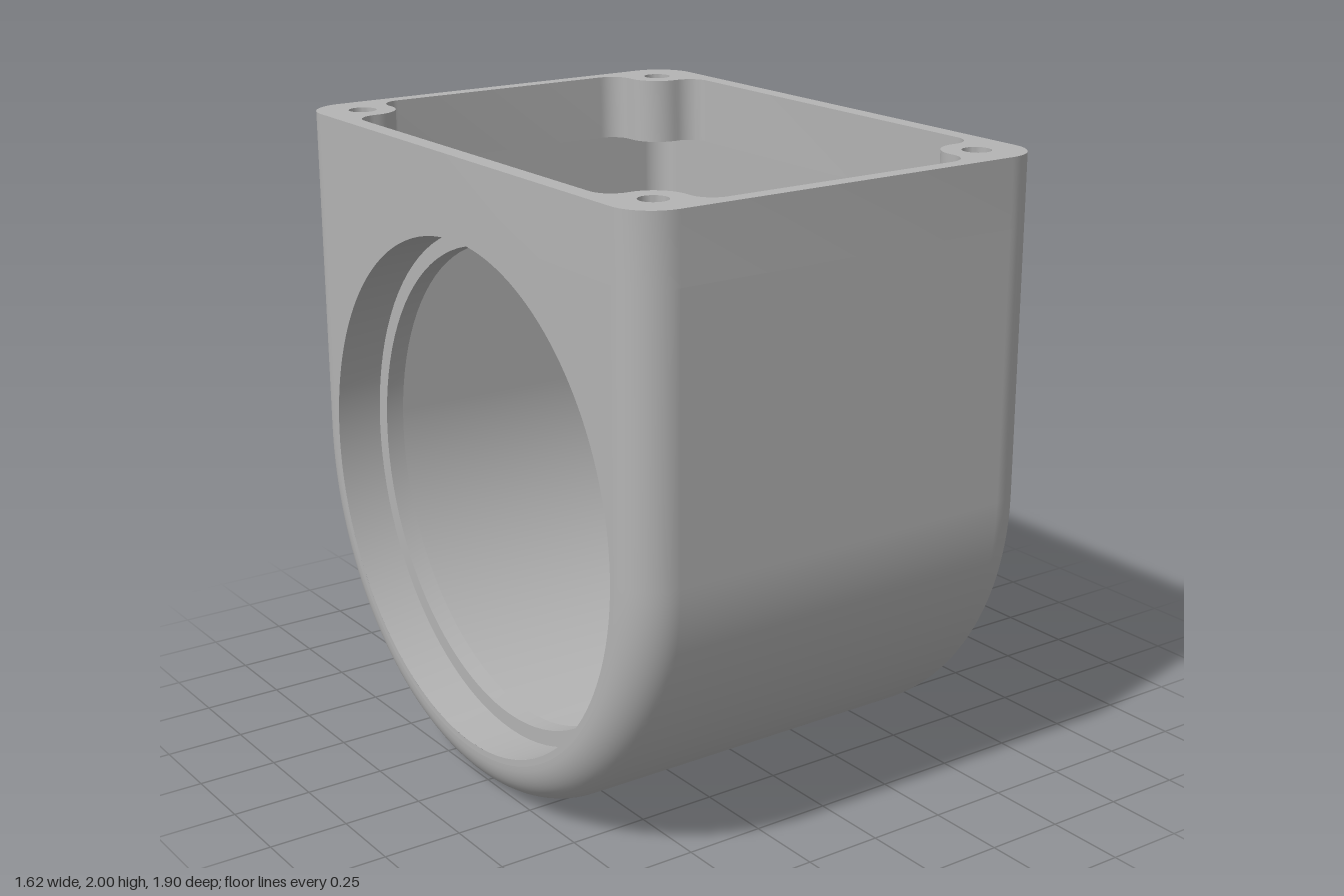
import * as THREE from 'three';
import { toCreasedNormals } from 'three/addons/utils/BufferGeometryUtils.js';

const AXIS_Y = 0.95;    // height of the bore axis
const RIM_Y = 1.79;     // underside of the rim and screw bosses
const TOP_Y = 2;
const MID_X = -0.0975;  // middle of the housing box
const HALF_PI = Math.PI / 2;

// Points along an arc, angles in quarter turns
function arc(cx, cy, r, from, to, n = 12) {
  return Array.from({ length: n + 1 }, (_, i) => {
    const a = (from + (to - from) * i / n) * HALF_PI;
    return new THREE.Vector2(cx + r * Math.cos(a), cy + r * Math.sin(a));
  });
}

// Mirror a first-quadrant outline into a closed four-quadrant outline
function mirrorQuarter(q) {
  const flip = (sx, sy) => q.map(p => new THREE.Vector2(p.x * sx, p.y * sy));
  return [...q, ...flip(-1, 1).reverse(), ...flip(-1, -1), ...flip(1, -1).reverse()];
}

// U-shaped skin with rounded edges: an (x, radius) profile swept down, around and up
function sweepU(x0, x1, radius, fillet, inward) {
  const profile = [
    ...arc(x0 + fillet, radius - fillet, fillet, 2, 1),
    ...arc(x1 - fillet, radius - fillet, fillet, 1, 0),
  ];
  const steps = 72, pos = [], index = [], n = profile.length;
  for (let j = -1; j <= steps + 1; j++) {
    const a = Math.PI * Math.min(Math.max(j, 0), steps) / steps;
    const straight = j < 0 || j > steps;
    for (const p of profile) {
      pos.push(p.x, straight ? RIM_Y : AXIS_Y - p.y * Math.sin(a), p.y * Math.cos(a));
    }
  }
  for (let j = 0; j < steps + 2; j++) {
    for (let i = 0; i < n - 1; i++) {
      const a = j * n + i, b = a + n, c = a + 1, d = b + 1;
      if (inward) index.push(a, c, b, c, d, b);
      else index.push(a, b, c, c, b, d);
    }
  }
  const geo = new THREE.BufferGeometry();
  geo.setAttribute('position', new THREE.Float32BufferAttribute(pos, 3));
  geo.setIndex(index);
  geo.computeVertexNormals();
  return geo;
}

// Flat U-shaped side face with a round opening, facing +x or -x
function sideFace(x, radius, hole, facing) {
  const shape = new THREE.Shape();
  shape.moveTo(radius, RIM_Y);
  shape.lineTo(-radius, RIM_Y);
  shape.lineTo(-radius, AXIS_Y);
  shape.absarc(0, AXIS_Y, radius, Math.PI, Math.PI * 2, false);
  shape.closePath();
  shape.holes.push(new THREE.Path().absarc(0, AXIS_Y, hole, 0, Math.PI * 2, true));
  return new THREE.ShapeGeometry(shape, 72).rotateY(facing * HALF_PI).translate(x, 0, 0);
}

// Turned part on the bore axis from (radius, x) pairs
function turned(points) {
  const geo = new THREE.LatheGeometry(points.map(p => new THREE.Vector2(...p)), 96);
  geo.rotateZ(-HALF_PI).translate(0, AXIS_Y, 0);
  return toCreasedNormals(geo, 0.4);
}

// Top rim with four corner screw bosses
function rimGeometry() {
  const shape = new THREE.Shape(mirrorQuarter(arc(0.5825, 0.82, 0.13, 0, 1)));
  shape.holes.push(new THREE.Path(mirrorQuarter([
    ...arc(0.585, 0.635, 0.07, 0, 1),
    ...arc(0.57, 0.81, 0.105, -1, -2),
    ...arc(0.395, 0.83, 0.07, 0, 1),
  ])));
  for (const sx of [-1, 1]) {
    for (const sz of [-1, 1]) {
      shape.holes.push(new THREE.Path().absarc(sx * 0.57, sz * 0.81, 0.044, 0, Math.PI * 2, true));
    }
  }
  const geo = new THREE.ExtrudeGeometry(shape, { depth: TOP_Y - RIM_Y, bevelEnabled: false, curveSegments: 14 });
  geo.rotateX(-HALF_PI).translate(MID_X, RIM_Y, 0);
  return toCreasedNormals(geo, 0.6);
}

export function createModel() {
  const model = new THREE.Group();
  model.name = 'housing';
  const metal = new THREE.MeshStandardMaterial({ color: 0xb4b4b4 });
  metal.name = 'grey metal';
  const add = (name, geo) => {
    const mesh = new THREE.Mesh(geo, metal);
    mesh.name = name;
    model.add(mesh);
  };

  // Outer body
  add('outerShell', sweepU(-0.81, 0.615, 0.95, 0.13, false));
  add('outerLargeBoreFace', sideFace(-0.81, 0.82, 0.8, -1));
  add('outerHubFace', sideFace(0.615, 0.82, 0.4, 1));

  // Cavity
  add('cavityWall', sweepU(-0.75, 0.56, 0.9, 0.075, true));
  add('innerLargeBoreFace', sideFace(-0.75, 0.825, 0.8, 1));
  add('innerHubFace', sideFace(0.56, 0.825, 0.28, -1));

  add('topRim', rimGeometry());

  // Stepped ring around the large opening
  add('largeBoreRing', turned([
    [0.88, -0.77], [0.88, -0.6], [0.75, -0.6], [0.75, -0.66], [0.8, -0.66], [0.8, -0.81],
  ]));

  // Hub with inner boss, flange, counterbore and through hole
  add('hub', turned([
    [0.07, 0.6], [0.22, 0.6], [0.22, 0.525], [0.27, 0.525], [0.29, 0.535], [0.3, 0.555], [0.3, 0.58],
    [0.655, 0.58], [0.655, 0.63], [0.645, 0.64], [0.595, 0.64], [0.595, 0.805],
    [0.24, 0.805], [0.24, 0.715], [0.07, 0.715], [0.07, 0.6],
  ]));

  return model;
}
